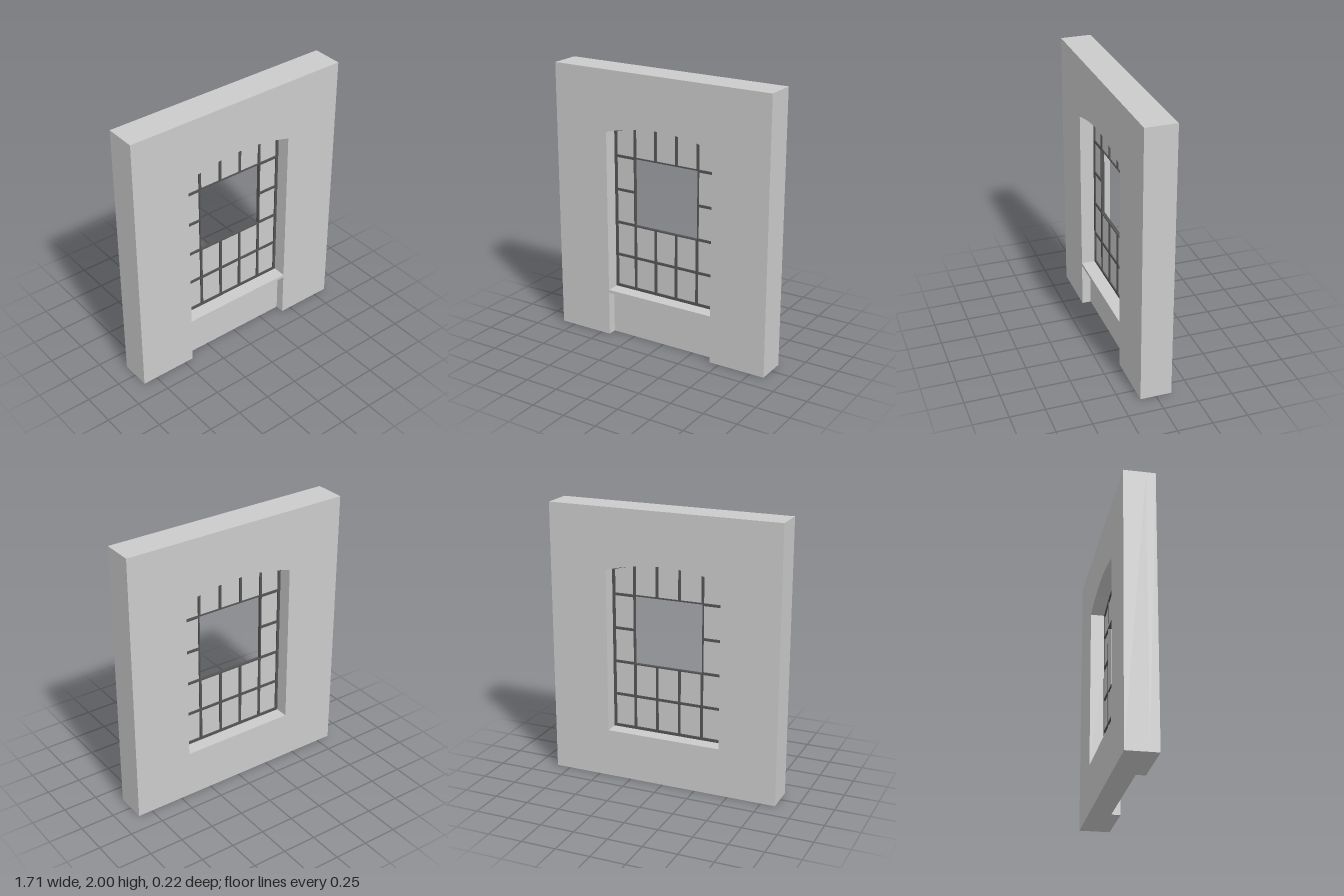
import * as THREE from 'three';

const W = 0.855, H = 2, D = 0.112;              // wall half width, height, half depth
const L = -0.43, R = 0.425, SILL = 0.355;       // window opening
const SPRING = 1.555, RISE = 0.064;
const CX = (L + R) / 2, HALF = (R - L) / 2;
const RAD = (HALF * HALF + RISE * RISE) / (2 * RISE);
const RECESS_Z = 0.046;                         // back of the recess under the sill
const BAR = 0.009, EDGE = 0.02, FRAME = 0.012;  // half bar, outer frame width, frame half depth

// Height of the segmental arch at x, optionally inset by t
const arch = (x, t = 0) =>
  SPRING + RISE - RAD + Math.sqrt((RAD - t) ** 2 - (x - CX) ** 2);

// Outline with a straight base and an arched top
function archedPoints(x0, x1, y0, inset, steps) {
  const pts = [new THREE.Vector2(x0, y0), new THREE.Vector2(x1, y0)];
  for (let i = 0; i <= steps; i++) {
    const x = x1 + (x0 - x1) * i / steps;
    pts.push(new THREE.Vector2(x, arch(x, inset)));
  }
  return pts;
}

const rectPoints = (x0, x1, y0, y1) =>
  [[x0, y0], [x1, y0], [x1, y1], [x0, y1]].map(p => new THREE.Vector2(...p));

function slab(shape, z0, z1) {
  const g = new THREE.ExtrudeGeometry(shape, { depth: z1 - z0, bevelEnabled: false });
  return g.translate(0, 0, z0);
}

export function createModel() {
  const model = new THREE.Group();
  const stone = new THREE.MeshStandardMaterial({ color: 0xcccccc });
  const iron = new THREE.MeshStandardMaterial({ color: 0x555555 });
  const add = (name, geometry, material) => {
    const mesh = new THREE.Mesh(geometry, material);
    mesh.name = name;
    model.add(mesh);
  };

  // Rear layer of the wall, pierced by the window
  const rear = new THREE.Shape(rectPoints(-W, W, 0, H));
  rear.holes.push(new THREE.Path(archedPoints(L, R, SILL, 0, 32)));
  add('wallRear', slab(rear, -D, RECESS_Z), stone);

  // Front layer, open down to the ground for the recess below the sill
  const front = new THREE.Shape([
    ...rectPoints(R, W, 0, H),
    ...rectPoints(-W, L, 0, H).reverse().slice(0, 1),
    new THREE.Vector2(-W, 0),
    new THREE.Vector2(L, 0),
    ...archedPoints(L, R, 0, 0, 32).slice(2).reverse(),
  ].filter((p, i) => i !== 3));
  // Replace the outline's order: right pier, top, left pier, arch back to the right pier
  add('wallFront', slab(front, RECESS_Z, D), stone);

  // Sill
  const sill = new THREE.BoxGeometry(R - L, 0.024, D - RECESS_Z);
  sill.translate(CX, SILL - 0.012, (D + RECESS_Z) / 2);
  add('sill', sill, stone);

  // Glazing grid: 5 columns by 5 rows, with a 3 by 2 opening in the middle
  const xs = [0, 1, 2, 3, 4, 5].map(i => L + (R - L) * i / 5);
  const ys = [SILL, 0.609, 0.859, 1.11, 1.36];
  const frame = new THREE.Shape(archedPoints(L, R, SILL, 0, 32));
  const glass = new THREE.Shape(archedPoints(L + 0.004, R - 0.004, SILL + 0.004, 0.004, 32));
  const opening = rectPoints(xs[1], xs[4], ys[2], ys[4]);
  frame.holes.push(new THREE.Path(opening));
  glass.holes.push(new THREE.Path(rectPoints(
    xs[1] - 0.003, xs[4] + 0.003, ys[2] - 0.003, ys[4] + 0.003)));
  for (let c = 0; c < 5; c++) {
    for (let r = 0; r < 5; r++) {
      if (c > 0 && c < 4 && (r === 2 || r === 3)) continue;
      const x0 = xs[c] + (c === 0 ? EDGE : BAR);
      const x1 = xs[c + 1] - (c === 4 ? EDGE : BAR);
      const y0 = ys[r] + (r === 0 ? EDGE : BAR);
      frame.holes.push(new THREE.Path(r === 4
        ? archedPoints(x0, x1, y0, EDGE, 8)
        : rectPoints(x0, x1, y0, ys[r + 1] - BAR)));
    }
  }
  add('windowFrame', slab(frame, -FRAME, FRAME), iron);
  add('windowPanes', slab(glass, -0.003, 0.003), stone);

  return model;
}
